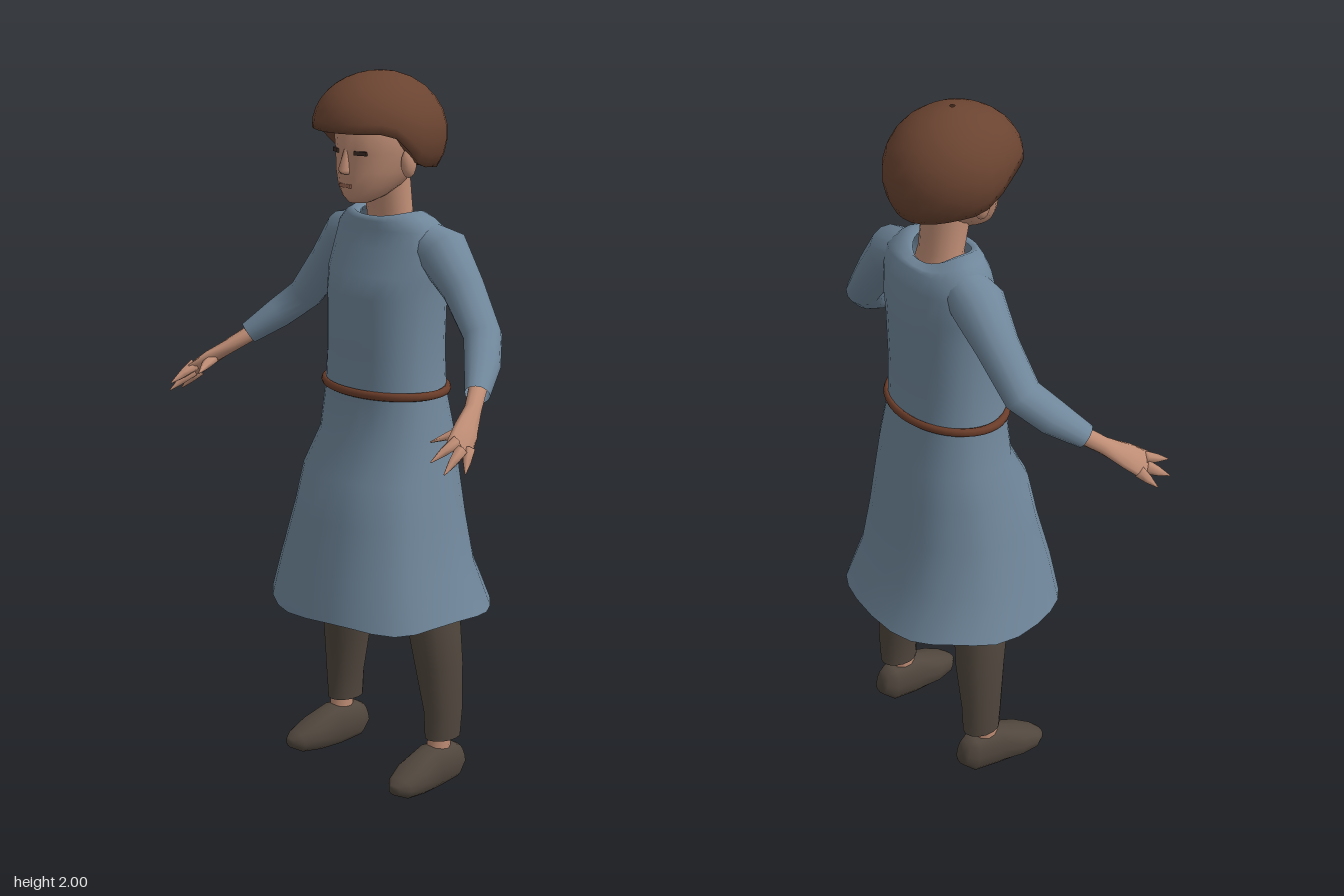
import * as THREE from 'three';

const mat = (name, color, side = THREE.FrontSide) => {
  const m = new THREE.MeshStandardMaterial({ color, side });
  m.name = name;
  return m;
};

// Indexed grid of rings, wrapped around, with optional end caps
function ringSurface(rings, caps = false) {
  const n = rings[0].length, pts = rings.flat(), index = [];
  for (let j = 0; j < rings.length - 1; j++)
    for (let i = 0; i < n; i++) {
      const a = j * n + i, b = j * n + (i + 1) % n;
      index.push(a, b, b + n, a, b + n, a + n);
    }
  if (caps) {
    [0, rings.length - 1].forEach((j) => {
      const c = new THREE.Vector3();
      rings[j].forEach((p) => c.addScaledVector(p, 1 / n));
      const k = pts.push(c) - 1;
      for (let i = 0; i < n; i++) {
        const a = j * n + i, b = j * n + (i + 1) % n;
        if (j === 0) index.push(k, b, a); else index.push(k, a, b);
      }
    });
  }
  const g = new THREE.BufferGeometry().setFromPoints(pts);
  g.setIndex(index);
  g.computeVertexNormals();
  return g;
}

// Sections are [x, y, z, width radius, depth radius] along a path
function loft(sections, { sides = 12, power = 2, level = false, ref = [0, 0, 1], caps = false, shape } = {}) {
  const centres = sections.map((s) => new THREE.Vector3(s[0], s[1], s[2]));
  const last = centres.length - 1;
  const rings = sections.map((s, j) => {
    const t = level ? new THREE.Vector3(0, 1, 0)
      : centres[Math.min(j + 1, last)].clone().sub(centres[Math.max(j - 1, 0)]).normalize();
    const v = new THREE.Vector3(...ref);
    v.addScaledVector(t, -v.dot(t)).normalize();
    const u = t.clone().cross(v);
    return Array.from({ length: sides }, (_, i) => {
      const a = (i / sides) * Math.PI * 2;
      const round = (q) => Math.sign(q) * Math.abs(q) ** (2 / power);
      const p = centres[j].clone()
        .addScaledVector(u, round(Math.sin(a)) * s[3])
        .addScaledVector(v, round(Math.cos(a)) * s[4]);
      if (shape) shape(p, a, j);
      return p;
    });
  });
  return ringSurface(rings, caps);
}

// Bowl-cut hair: the lower edge is high over the face and low at the nape
function hairGeometry() {
  const sides = 28, rows = 9, rings = [];
  for (let j = rows + 1; j >= 0; j--) {
    const t = Math.min(Math.max(j === rows + 1 ? 1 : j / rows, 0.02), 1);
    const tuck = j === rows + 1 ? 0.62 : 1;
    rings.push(Array.from({ length: sides }, (_, i) => {
      const a = (i / sides) * Math.PI * 2;
      const away = Math.acos(THREE.MathUtils.clamp(Math.cos(a), -1, 1));
      const k = THREE.MathUtils.smoothstep(away, 0.95, 1.75);
      const edge = 1.852 - 0.1 * k - 0.025 * THREE.MathUtils.smoothstep(away, 1.7, 3);
      const sweep = 1.6 + 0.55 * k;
      const r = Math.sin(t * sweep) * tuck;
      const y = 2 - (2 - edge) * (1 - Math.cos(t * sweep)) / (1 - Math.cos(sweep));
      return new THREE.Vector3(Math.sin(a) * r * 0.173, y + (tuck < 1 ? 0.012 : 0), -0.015 + Math.cos(a) * r * 0.19);
    }));
  }
  return ringSurface(rings);
}

export function createModel() {
  const model = new THREE.Group();
  model.name = 'tunicFigure';
  const cloth = mat('blue cloth', 0x70879b, THREE.DoubleSide);
  const skin = mat('skin', 0xbf8d75, THREE.DoubleSide);
  const hair = mat('brown hair', 0x6b4431, THREE.DoubleSide);
  const leather = mat('belt leather', 0x6b3d2a);
  const wool = mat('dark wool', 0x51473e, THREE.DoubleSide);
  const dark = mat('dark eye', 0x3a2a24);
  const lip = mat('lip', 0x9a6653);
  const add = (name, geometry, material, parent = model) => {
    const m = new THREE.Mesh(geometry, material);
    m.name = name;
    parent.add(m);
    return m;
  };

  // Tunic body: [height, half width, front z, back z]
  const body = [
    [0.515, 0.315, 0.26, -0.3], [0.64, 0.278, 0.237, -0.25], [0.78, 0.248, 0.198, -0.228],
    [0.9, 0.226, 0.172, -0.214], [1.0, 0.204, 0.115, -0.2], [1.13, 0.182, 0.103, -0.176],
    [1.25, 0.174, 0.1, -0.175], [1.4, 0.176, 0.1, -0.18], [1.46, 0.186, 0.085, -0.18],
    [1.53, 0.19, 0.05, -0.17], [1.58, 0.178, 0.038, -0.158], [1.615, 0.142, 0.034, -0.142],
    [1.63, 0.108, 0.03, -0.128], [1.62, 0.085, 0.018, -0.118],
  ].map(([y, w, f, b]) => [0, y, (f + b) / 2, w, (f - b) / 2]);
  add('tunic', loft(body, {
    sides: 28, power: 2.3, level: true,
    shape: (p, a, j) => {
      if (j === 0) p.y += 0.008 * Math.sin(a * 5);
      if (j < 4) p.multiply(new THREE.Vector3(1 + 0.012 * Math.cos(a * 7), 1, 1));
      // neckline dips at front and back
      if (j > 10) p.y -= (Math.cos(a) < 0 ? 0.035 : 0.015) * Math.cos(a) ** 2;
    },
  }), cloth);

  // Belt
  const belt = new THREE.TorusGeometry(1, 0.06, 8, 40);
  belt.rotateX(Math.PI / 2).scale(0.194, 0.2, 0.146).translate(0, 1.138, -0.037);
  add('belt', belt, leather);

  // Head and neck
  const head = new THREE.Group();
  head.name = 'head';
  model.add(head);
  add('neck', loft([
    [0, 1.56, -0.06, 0.082, 0.062], [0, 1.61, -0.052, 0.07, 0.056], [0, 1.72, -0.035, 0.068, 0.065],
  ], { sides: 16, level: true }), skin, head);
  add('face', loft([
    [0, 1.655, 0.055, 0.028, 0.036], [0, 1.672, 0.04, 0.055, 0.064], [0, 1.7, 0.018, 0.08, 0.094],
    [0, 1.74, 0, 0.1, 0.113], [0, 1.79, -0.018, 0.114, 0.128], [0, 1.85, -0.025, 0.12, 0.14],
    [0, 1.93, -0.025, 0.09, 0.1],
  ], { sides: 20, level: true, caps: true }), skin, head);
  add('nose', loft([
    [0, 1.735, 0.106, 0.017, 0.014], [0, 1.745, 0.112, 0.017, 0.02], [0, 1.8, 0.104, 0.007, 0.008],
  ], { sides: 8, level: true, caps: true }), skin, head);
  add('mouth', new THREE.BoxGeometry(0.044, 0.01, 0.008).translate(0, 1.703, 0.109), lip, head);
  add('hair', hairGeometry(), hair, head);

  for (const s of [1, -1]) {
    const side = s > 0 ? 'left' : 'right';
    const mirror = (sections) => sections.map(([x, ...rest]) => [x * s, ...rest]);
    const part = (name, sections, material, options, parent) =>
      add(side + name, loft(mirror(sections), options), material, parent);

    // Eye and ear
    const eye = add(side + 'Eye', new THREE.BoxGeometry(0.036, 0.011, 0.008), dark, head);
    eye.position.set(0.048 * s, 1.793, 0.099);
    eye.rotation.y = 0.4 * s;
    const ear = add(side + 'Ear', new THREE.SphereGeometry(1, 10, 8), skin, head);
    ear.scale.set(0.018, 0.04, 0.025);
    ear.position.set(0.119 * s, 1.765, -0.01);

    // Sleeve
    part('Sleeve', [
      [0.09, 1.555, -0.065, 0.055, 0.06], [0.19, 1.525, -0.072, 0.072, 0.075], [0.27, 1.438, -0.07, 0.056, 0.06],
      [0.36, 1.328, -0.055, 0.047, 0.055], [0.415, 1.27, 0.0, 0.043, 0.05], [0.468, 1.212, 0.07, 0.032, 0.034],
    ], cloth, { sides: 14 });

    // Hand: wrist and palm, then pointed fingers and thumb
    const hand = new THREE.Group();
    hand.name = side + 'Hand';
    model.add(hand);
    part('Palm', [
      [0.44, 1.235, 0.035, 0.024, 0.026], [0.492, 1.182, 0.11, 0.021, 0.024],
      [0.525, 1.145, 0.165, 0.016, 0.036], [0.55, 1.108, 0.215, 0.01, 0.04],
    ], skin, { sides: 10, caps: true }, hand);
    [
      ['IndexFinger', 0.54, 1.128, 0.215, 0.537, 1.09, 0.3],
      ['MiddleFinger', 0.553, 1.108, 0.21, 0.567, 1.06, 0.282],
      ['LittleFinger', 0.555, 1.105, 0.185, 0.585, 1.055, 0.225],
      ['Thumb', 0.518, 1.145, 0.165, 0.478, 1.12, 0.246],
    ].forEach(([name, x, y, z, tx, ty, tz]) => part(name, [
      [x, y, z, 0.017, 0.019], [(x + tx) / 2, (y + ty) / 2, (z + tz) / 2, 0.011, 0.013], [tx, ty, tz, 0.002, 0.002],
    ], skin, { sides: 6, caps: true }, hand));

    // Trouser leg, ankle and shoe
    part('TrouserLeg', [
      [0.207, 0.14, -0.067, 0.043, 0.057], [0.208, 0.22, -0.067, 0.05, 0.06], [0.193, 0.36, -0.062, 0.066, 0.072],
      [0.18, 0.5, -0.05, 0.076, 0.08], [0.145, 0.66, -0.045, 0.08, 0.088], [0.1, 0.9, -0.045, 0.09, 0.1],
    ], wool, { sides: 14, level: true });
    part('Ankle', [
      [0.208, 0.08, -0.05, 0.03, 0.036], [0.208, 0.2, -0.055, 0.03, 0.036],
    ], skin, { sides: 10, level: true });
    part('Shoe', [
      [0.205, 0.07, -0.13, 0.028, 0.035], [0.205, 0.061, -0.1, 0.043, 0.055], [0.208, 0.061, -0.02, 0.05, 0.061],
      [0.215, 0.047, 0.055, 0.055, 0.045], [0.222, 0.036, 0.11, 0.042, 0.029], [0.225, 0.036, 0.135, 0.02, 0.014],
    ], wool, { sides: 12, power: 2.8, ref: [0, 1, 0], caps: true });
  }
  return model;
}
